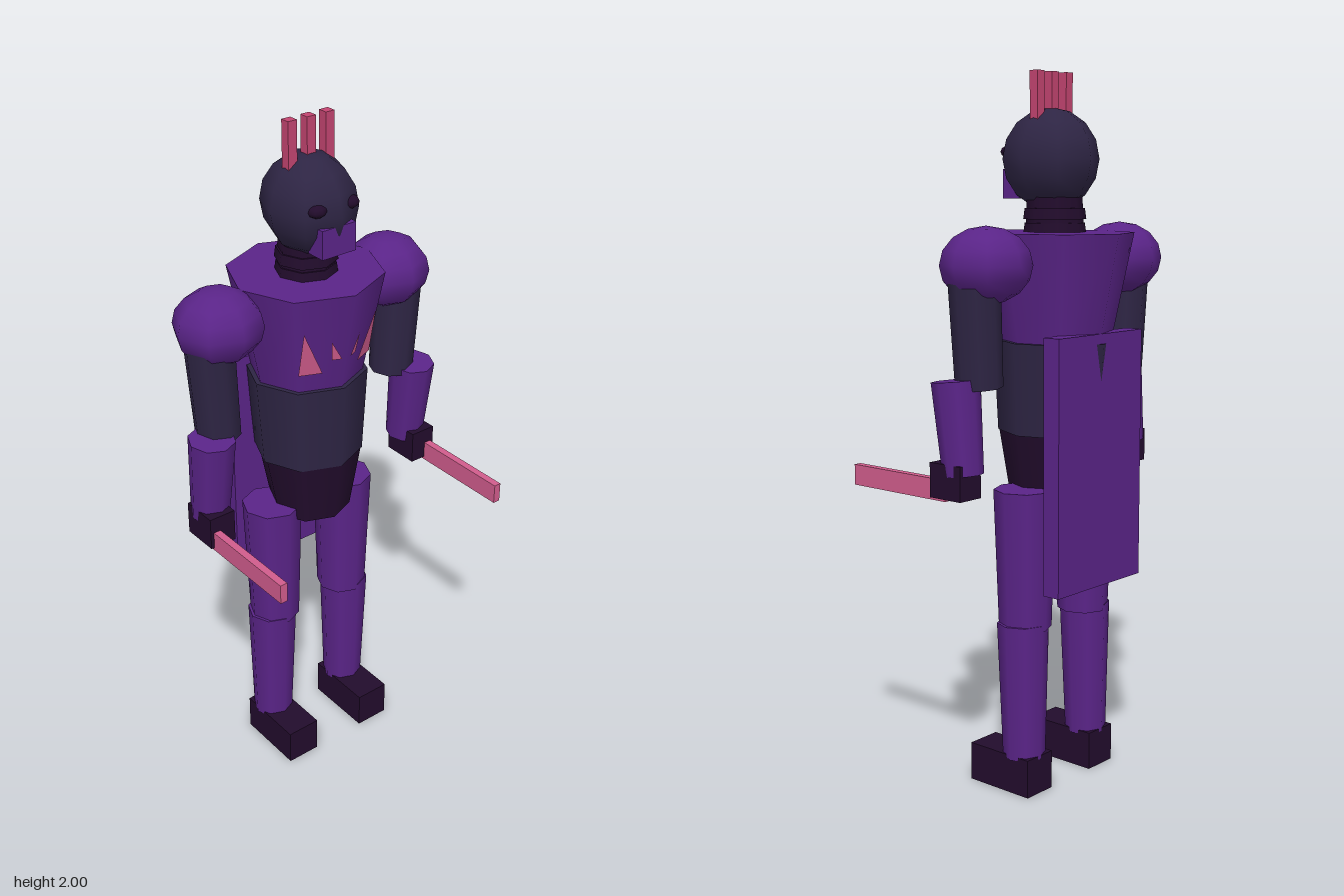
import * as THREE from 'three';

const mat = (name, color, side = THREE.FrontSide) => {
  const m = new THREE.MeshStandardMaterial({ color, side });
  m.name = name;
  return m;
};

export function createModel() {
  const group = new THREE.Group();
  const purple = mat('purple armour', 0x5a2488);
  const navy = mat('dark navy', 0x2e2544);
  const plum = mat('dark plum', 0x220c2c);
  const pink = mat('pink', 0xc24470);
  const glow = mat('bright pink', 0xd05c8c, THREE.DoubleSide);

  const add = (name, geometry, material, x = 0, y = 0, z = 0) => {
    const mesh = new THREE.Mesh(geometry, material);
    mesh.name = name;
    mesh.position.set(x, y, z);
    group.add(mesh);
    return mesh;
  };
  const box = (name, m, w, h, d, x, y, z) =>
    add(name, new THREE.BoxGeometry(w, h, d), m, x, y, z);
  const ball = (name, m, rx, ry, rz, x, y, z, rows = 8) =>
    add(name, new THREE.SphereGeometry(1, 8, rows).scale(rx, ry, rz), m, x, y, z);
  // Eight-sided tapered segment from a top point to a bottom point
  const limb = (name, m, rTop, rBottom, top, bottom) => {
    const a = new THREE.Vector3(...top), b = new THREE.Vector3(...bottom);
    const dir = a.clone().sub(b);
    const mesh = add(name, new THREE.CylinderGeometry(rTop, rBottom, dir.length(), 8), m);
    mesh.position.copy(a).add(b).multiplyScalar(0.5);
    mesh.quaternion.setFromUnitVectors(new THREE.Vector3(0, 1, 0), dir.normalize());
    return mesh;
  };

  // Torso, flared toward the shoulders
  limb('chest', purple, 0.217, 0.157, [0, 1.57, -0.092], [0, 1.27, -0.09]);
  limb('abdomen', navy, 0.172, 0.156, [0, 1.275, -0.09], [0, 1.02, -0.085]);
  limb('pelvis', plum, 0.15, 0.115, [0, 1.025, -0.08], [0, 0.83, -0.075]);

  // Neck and collar rings
  limb('neck', plum, 0.076, 0.08, [0, 1.7, -0.085], [0, 1.56, -0.088]);
  for (const y of [1.58, 1.62]) {
    limb('neckRing', plum, 0.083, 0.087, [0, y + 0.015, -0.087], [0, y - 0.015, -0.087]);
  }

  // Head
  ball('head', navy, 0.125, 0.138, 0.14, 0, 1.767, -0.073);
  box('jaw', purple, 0.11, 0.08, 0.06, 0, 1.7, 0.025);
  for (const x of [-0.06, 0, 0.06]) {
    box('crestSpike', pink, 0.028, 0.14, 0.028, x, 1.93, -0.074);
  }

  // Triangular marks lying on the front facets of the chest
  const onChest = (x, y) => {
    const r = 0.157 + (y - 1.27) * 0.2;
    return [x, y, r - 0.414 * Math.abs(x) - 0.085];
  };
  const mark = (name, points) => {
    const geometry = new THREE.BufferGeometry();
    geometry.setAttribute('position',
      new THREE.Float32BufferAttribute(points.flatMap(([x, y]) => onChest(x, y)), 3));
    geometry.computeVertexNormals();
    add(name, geometry, glow);
  };

  for (const s of [-1, 1]) {
    // Corner order keeps each mark facing forward
    const facing = (pts) => {
      const p = pts.map(([x, y]) => [x * s, y]);
      return s > 0 ? p : p.reverse();
    };
    mark('largeChestMark', facing([[0.122, 1.47], [0.06, 1.335], [0.122, 1.335]]));
    mark('smallChestMark', facing([[0.048, 1.435], [0.014, 1.375], [0.04, 1.375]]));

    ball('eye', plum, 0.028, 0.018, 0.024, s * 0.053, 1.787, 0.03, 6);

    // Arm
    ball('shoulder', purple, 0.126, 0.103, 0.121, s * 0.286, 1.49, -0.093);
    limb('upperArm', navy, 0.07, 0.064, [s * 0.325, 1.47, -0.085], [s * 0.307, 1.17, -0.085]);
    limb('forearm', purple, 0.066, 0.055, [s * 0.355, 1.19, -0.045], [s * 0.355, 0.94, -0.07]);
    box('hand', plum, 0.08, 0.095, 0.11, s * 0.365, 0.925, -0.05);
    box('baton', glow, 0.022, 0.058, 0.35, s * 0.384, 0.898, 0.135);

    // Leg
    limb('thigh', purple, 0.087, 0.074, [s * 0.13, 0.87, -0.09], [s * 0.128, 0.475, -0.09]);
    limb('shin', purple, 0.073, 0.06, [s * 0.138, 0.49, -0.09], [s * 0.139, 0.1, -0.095]);
    box('foot', plum, 0.105, 0.11, 0.215, s * 0.138, 0.055, -0.045);
  }

  // Rigid panel hanging down the back
  box('backPanel', purple, 0.362, 0.705, 0.053, 0, 0.947, -0.227);

  return group;
}
